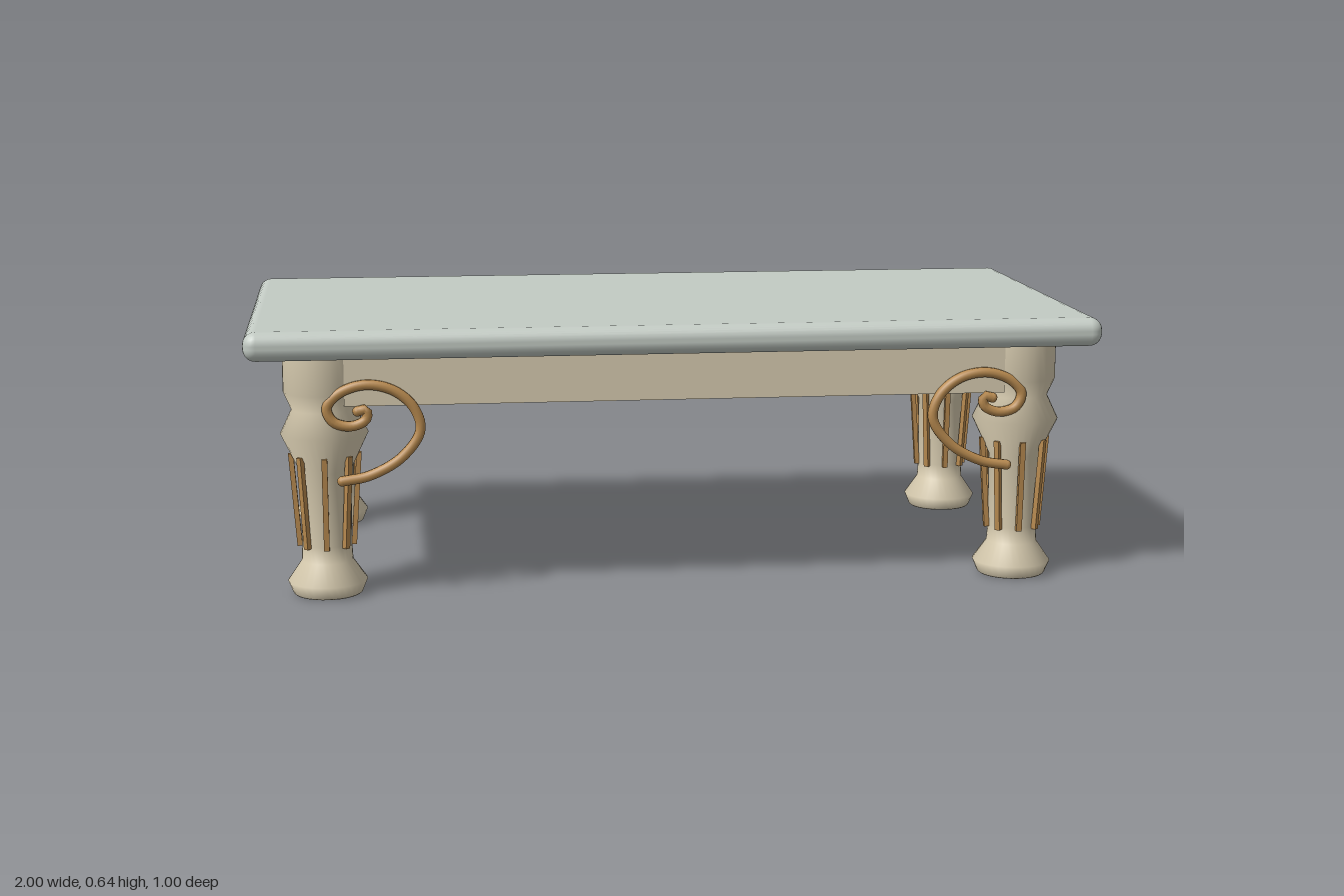
import * as THREE from 'three';
import { RoundedBoxGeometry } from 'three/addons/geometries/RoundedBoxGeometry.js';

const LEG_X = 0.823, LEG_Z = 0.372;

function material(name, color) {
  const m = new THREE.MeshStandardMaterial({ color });
  m.name = name;
  return m;
}

function addMesh(parent, name, geometry, mat, x = 0, y = 0, z = 0) {
  const mesh = new THREE.Mesh(geometry, mat);
  mesh.name = name;
  mesh.position.set(x, y, z);
  parent.add(mesh);
  return mesh;
}

export function createModel() {
  const stone = material('pale grey green top', 0xc3cbc4);
  const cream = material('cream wood', 0xd8ccb0);
  const bronze = material('bronze trim', 0xb98b50);
  const table = new THREE.Group();
  table.name = 'table';

  // Slab with rounded edges
  addMesh(table, 'tableTop', new RoundedBoxGeometry(2, 0.068, 1, 3, 0.03), stone, 0, 0.602, 0);

  // Turned leg profile: radius, height
  const profile = [
    [0, 0], [0.077, 0], [0.081, 0.003], [0.093, 0.032], [0.06, 0.08], [0.058, 0.12],
    [0.06, 0.295], [0.102, 0.383], [0.075, 0.44], [0.093, 0.482], [0.093, 0.575],
  ].map(([r, y]) => new THREE.Vector2(r, y));
  const legGeometry = new THREE.LatheGeometry(profile, 32);

  // Thin ribs lean outward around each shaft
  const bottom = new THREE.Vector2(0.063, 0.115), top = new THREE.Vector2(0.079, 0.335);
  const lean = Math.atan2(top.x - bottom.x, top.y - bottom.y);
  const ribGeometry = new THREE.BoxGeometry(0.012, bottom.distanceTo(top), 0.013);
  ribGeometry.rotateZ(-lean);
  ribGeometry.translate((bottom.x + top.x) / 2, (bottom.y + top.y) / 2, 0);

  for (const sx of [-1, 1]) {
    for (const sz of [-1, 1]) {
      const leg = new THREE.Group();
      leg.name = (sz > 0 ? 'front' : 'back') + (sx > 0 ? 'Left' : 'Right') + 'Leg';
      leg.position.set(sx * LEG_X, 0, sz * LEG_Z);
      addMesh(leg, 'turnedPost', legGeometry, cream);
      for (let i = 0; i < 8; i++) {
        addMesh(leg, 'rib', ribGeometry, bronze).rotation.y = i * Math.PI / 4;
      }
      table.add(leg);
    }
  }

  // Long rails under the front and back edges
  const railGeometry = new THREE.BoxGeometry(1.55, 0.116, 0.04);
  for (const sz of [-1, 1]) {
    addMesh(table, sz > 0 ? 'frontRail' : 'backRail', railGeometry, cream, 0, 0.515, sz * 0.431);
  }

  // Spiral brackets on the front legs
  const spiral = [
    [0.783, 0.283], [0.72, 0.295], [0.645, 0.337], [0.602, 0.4], [0.618, 0.455],
    [0.666, 0.495], [0.73, 0.507], [0.789, 0.487], [0.815, 0.455], [0.8, 0.422],
    [0.757, 0.412], [0.725, 0.428], [0.725, 0.449], [0.745, 0.446],
  ];
  for (const sx of [-1, 1]) {
    const curve = new THREE.CatmullRomCurve3(
      spiral.map(([x, y]) => new THREE.Vector3(sx * x, y, 0.455)));
    const scroll = new THREE.Group();
    scroll.name = sx > 0 ? 'leftScroll' : 'rightScroll';
    addMesh(scroll, 'scrollTube', new THREE.TubeGeometry(curve, 80, 0.012, 10), bronze);
    // Rounded tips close the tube
    for (const t of [0, 1]) {
      const p = curve.getPoint(t);
      addMesh(scroll, 'scrollTip', new THREE.SphereGeometry(0.012, 10, 8), bronze, p.x, p.y, p.z);
    }
    table.add(scroll);
  }

  return table;
}
